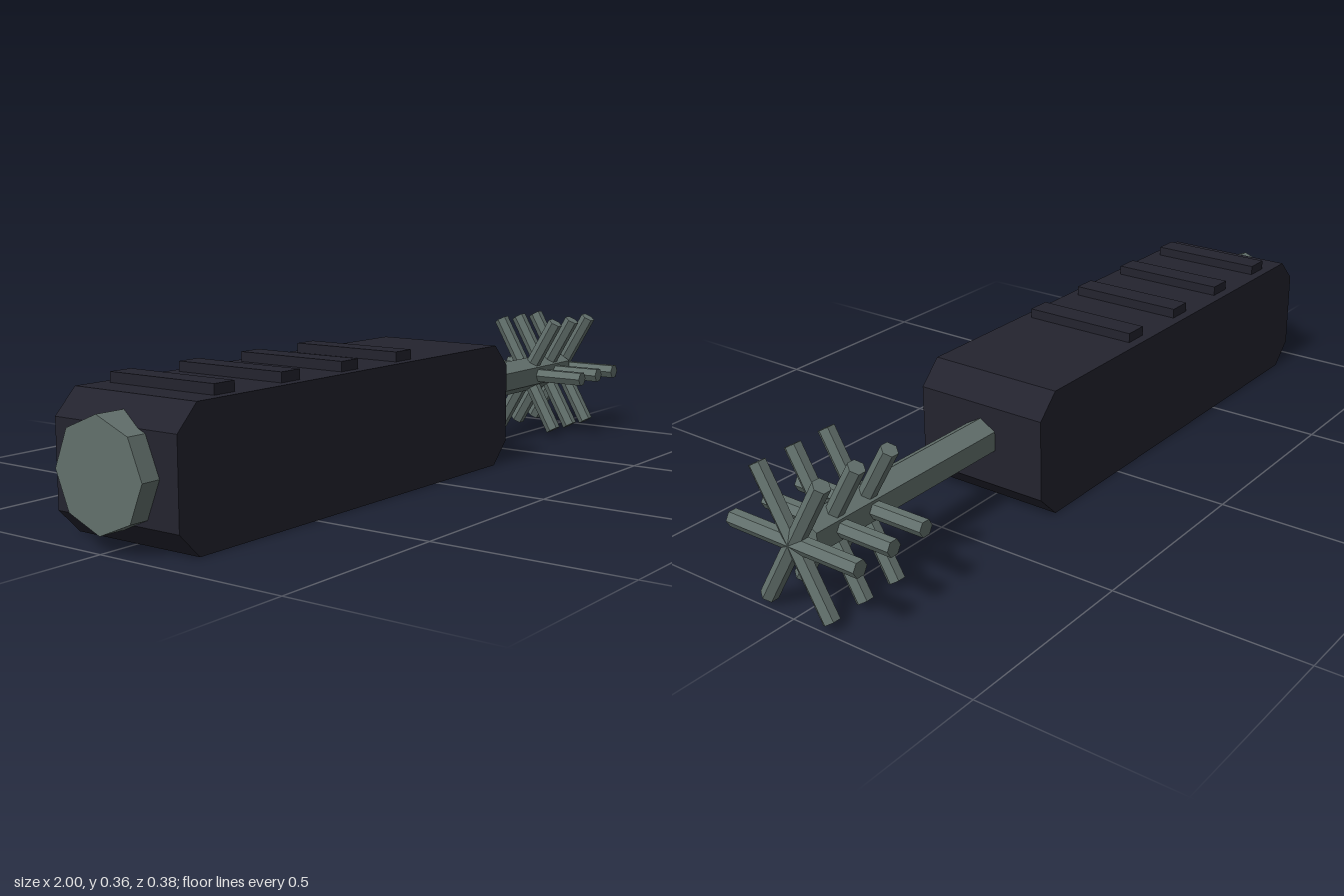
import * as THREE from 'three';

export function createModel() {
  const model = new THREE.Group();
  const grip = new THREE.MeshStandardMaterial({ color: 0x23232e, flatShading: true });
  grip.name = 'darkGrip';
  const metal = new THREE.MeshStandardMaterial({ color: 0x62706c, flatShading: true });
  metal.name = 'greyMetal';

  function add(name, geometry, material, x, y, z, parent = model) {
    const mesh = new THREE.Mesh(geometry, material);
    mesh.name = name;
    mesh.position.set(x, y, z);
    parent.add(mesh);
    return mesh;
  }

  // Handle: a block with its four end corners cut off
  const x0 = -0.95, x1 = 0.34, h = 0.331, c = 0.06, depth = 0.368;
  const outline = new THREE.Shape([
    [x0 + c, 0], [x1 - c, 0], [x1, c], [x1, h - c],
    [x1 - c, h], [x0 + c, h], [x0, h - c], [x0, c],
  ].map(([x, y]) => new THREE.Vector2(x, y)));
  const body = new THREE.ExtrudeGeometry(outline, { depth, bevelEnabled: false });
  add('handle', body, grip, 0, 0, -depth / 2);

  // Raised grip ribs across the top
  for (let i = 0; i < 4; i++) {
    add('gripRib', new THREE.BoxGeometry(0.065, 0.05, 0.316), grip, -0.777 + i * 0.22, 0.331, 0);
  }

  // Octagonal end cap with corners pointing up and down
  const cap = new THREE.CylinderGeometry(0.131, 0.131, 0.15, 8).rotateZ(Math.PI / 2);
  add('endCap', cap, metal, -0.925, 0.17, 0);

  // Hexagonal shaft with corners pointing sideways
  const axisY = 0.182;
  const shaft = new THREE.CylinderGeometry(0.051, 0.051, 0.655, 6).rotateZ(Math.PI / 2).rotateX(Math.PI / 2);
  add('shaft', shaft, metal, 0.6275, axisY, 0);

  // Three stars of crossed hexagonal prongs
  const prong = new THREE.CylinderGeometry(0.0215, 0.0215, 0.38, 6).rotateY(Math.PI / 2);
  for (const x of [0.77, 0.874, 0.9785]) {
    const star = new THREE.Group();
    star.name = 'prongStar';
    star.position.set(x, axisY, 0);
    model.add(star);
    for (let i = 0; i < 3; i++) {
      add('prong', prong, metal, 0, 0, 0, star).rotation.x = Math.PI / 6 + i * Math.PI / 3;
    }
  }
  return model;
}
